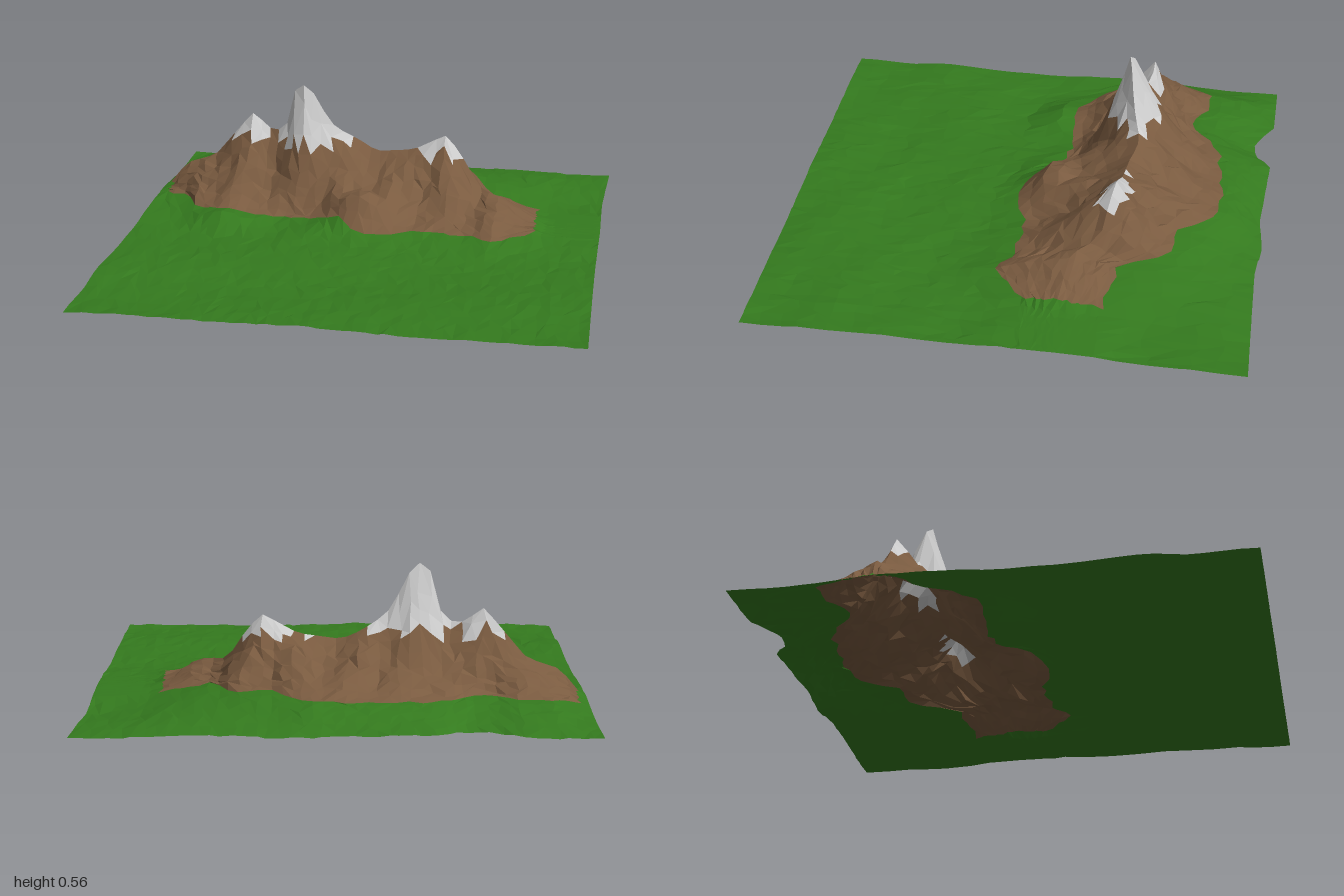
import * as THREE from 'three';

// Piecewise-linear curve through [x, value] pairs
const curve = (pts) => (x) => {
  if (x <= pts[0][0]) return pts[0][1];
  for (let i = 1; i < pts.length; i++) {
    const [x0, a] = pts[i - 1], [x1, b] = pts[i];
    if (x <= x1) return a + (b - a) * (x - x0) / (x1 - x0);
  }
  return pts[pts.length - 1][1];
};

// Height and depth of the mountain crest along x
const crestY = curve([[-1, 0.05], [-0.95, 0.08], [-0.9, 0.165], [-0.76, 0.21], [-0.7, 0.28], [-0.65, 0.34],
  [-0.585, 0.415], [-0.48, 0.34], [-0.42, 0.38], [-0.375, 0.55], [-0.333, 0.58], [-0.29, 0.54], [-0.25, 0.46],
  [-0.2, 0.38], [-0.1, 0.32], [-0.02, 0.28], [0.15, 0.3], [0.29, 0.375], [0.35, 0.32], [0.44, 0.18],
  [0.55, 0.155], [0.7, 0.08], [0.76, 0.05], [1, 0.04]]);
const crestZ = curve([[-1, -0.45], [-0.7, -0.46], [-0.55, -0.46], [-0.333, -0.375], [-0.25, -0.4], [-0.1, -0.45],
  [0, -0.42], [0.29, -0.4], [0.42, -0.36], [0.52, -0.25], [0.75, -0.22], [1, -0.25]]);

// Front and back foot of the rock
const footFront = curve([[-1, -0.36], [-0.95, -0.36], [-0.85, -0.3], [-0.78, -0.17], [-0.65, -0.11], [-0.4, -0.13],
  [-0.2, -0.08], [-0.03, 0.04], [0.1, 0.03], [0.2, -0.02], [0.45, 0], [0.54, 0.07], [0.7, -0.08], [1, -0.1]]);
const footBack = curve([[-1, -0.56], [-0.94, -0.58], [-0.85, -0.7], [-0.7, -0.69], [-0.6, -0.62], [-0.5, -0.68],
  [-0.4, -0.77], [0.1, -0.82], [0.25, -0.66], [0.4, -0.62], [0.5, -0.44], [0.7, -0.4], [1, -0.4]]);
const footBackY = curve([[-1, 0.04], [-0.85, 0.1], [0.3, 0.125], [0.5, 0.1], [0.75, 0.045], [1, 0.035]]);

// Ragged outer border of the land
const borderBack = curve([[-1, -1], [-0.7, -1], [-0.6, -0.94], [-0.53, -0.92], [-0.46, -0.94], [-0.38, -1],
  [0, -0.98], [0.2, -1], [0.35, -0.98], [0.6, -0.985], [1, -0.995]]);
const borderRight = curve([[-1, 0.99], [-0.6, 0.975], [-0.2, 0.985], [0.2, 0.985], [0.5, 0.99], [1, 1]]);

const bell = (x, z, cx, cz, rx, rz) => Math.exp(-(((x - cx) / rx) ** 2) - (((z - cz) / rz) ** 2));

// Repeatable value in -1..1 for a grid corner
const hash = (i, j, k = 0) => {
  const s = Math.sin(i * 127.1 + j * 311.7 + k * 74.7) * 43758.5453;
  return 2 * (s - Math.floor(s)) - 1;
};

// Gently rolling meadow
const meadow = (x, z) => 0.036
  + 0.005 * Math.sin(x * 3.1 + z * 9) + 0.003 * Math.sin(x * 8 - z * 17)
  - 0.028 * bell(x, z, 0.93, -0.65, 0.2, 0.3)
  - 0.012 * bell(x, z, -0.95, -0.85, 0.2, 0.2)
  + 0.045 * bell(x, z, -0.62, -0.04, 0.13, 0.09)
  + 0.03 * bell(x, z, -0.2, 0, 0.12, 0.1);

const COLS = 48;
const ROWS = [15, 9, 9, 6];                       // meadow, front face, back face, rear slope
const FOOT = ROWS[0], CREST = FOOT + ROWS[1], REAR = CREST + ROWS[2], END = REAR + ROWS[3];

// Position of one grid corner; rows follow the foot and crest lines
function corner(i, j) {
  const edgeX = i === 0 || i === COLS, edgeZ = j === 0 || j === END;
  const onLine = j === FOOT || j === CREST || j === REAR;
  let x = -1 + 2 * i / COLS;
  const zf = footFront(x), zr = crestZ(x), zb = footBack(x), top = crestY(x);
  const stops = [0.99, zf, zr, zb, borderBack(x)];
  let band = 0, start = 0;
  while (band < 3 && j > start + ROWS[band]) start += ROWS[band++];
  const step = (stops[band + 1] - stops[band]) / ROWS[band];
  let z = stops[band] + step * (j - start);
  if (!edgeZ && j !== CREST) z += hash(i, j) * (onLine ? 0.014 : 0.32 * Math.abs(step));
  if (!edgeX && j !== CREST) x += hash(i, j, 1) * 0.012;

  const frontY = Math.min(top, meadow(x, zf) + 0.025);
  const backY = Math.min(top, footBackY(x));
  const power = 1 + Math.max(0, top - 0.2) * 2.5;
  let y;
  if (band === 0) {
    y = meadow(x, z) + (frontY - meadow(x, zf)) * Math.exp(-(((z - zf) / 0.09) ** 2));
  } else if (band === 3) {
    const t = Math.min(1, Math.max(0, (zb - z) / (zb - stops[4])));
    y = meadow(x, z) + (backY - meadow(x, zb)) * (1 - t ** 1.4);
  } else {
    const front = band === 1;
    const t = Math.min(1, Math.max(0, front ? (zf - z) / (zf - zr) : (z - zb) / (zr - zb)));
    const base = front ? frontY : backY;
    y = base + (top - base) * t ** power;
    // Gullies and crags, fading out at the foot and crest
    const rough = Math.min(1, (top - 0.04) * 5) * Math.sin(Math.PI * t);
    y += rough * (0.016 * Math.sin(x * 27 + z * 5) + 0.012 * hash(i, j, 2));
  }
  // Spur in front of the main face
  if (band < 2) y += 0.1 * bell(x, z, -0.04, -0.09, 0.1, 0.085);
  if (band === 0 || band === 3) y += 0.003 * hash(i, j, 3);
  if (i === COLS) x = borderRight(z);
  return new THREE.Vector3(x, Math.max(0, y), z);
}

export function createModel() {
  const grid = [];
  for (let j = 0; j <= END; j++) {
    grid.push([]);
    for (let i = 0; i <= COLS; i++) grid[j].push(corner(i, j));
  }

  // Sort every triangle into meadow, rock or snow
  const parts = {
    meadow: { color: 0x347a1e, points: [] },
    mountainRock: { color: 0x7a5b40, points: [] },
    snowCaps: { color: 0xcccccc, points: [] },
  };
  const addTriangle = (j, a, b, c) => {
    const x = (a.x + b.x + c.x) / 3, y = (a.y + b.y + c.y) / 3;
    const isRock = j >= FOOT && j < REAR && x > -0.955 && x < 0.71;
    const snowLine = (x > 0.02 ? 0.3 : 0.325) + 0.018 * Math.sin(x * 50);
    const name = !isRock ? 'meadow' : y > snowLine ? 'snowCaps' : 'mountainRock';
    parts[name].points.push(a, b, c);
  };
  for (let j = 0; j < END; j++) {
    for (let i = 0; i < COLS; i++) {
      const a = grid[j][i], b = grid[j][i + 1], c = grid[j + 1][i + 1], d = grid[j + 1][i];
      if (hash(i, j, 4) > 0) {
        addTriangle(j, a, b, c);
        addTriangle(j, a, c, d);
      } else {
        addTriangle(j, a, b, d);
        addTriangle(j, b, c, d);
      }
    }
  }

  const model = new THREE.Group();
  model.name = 'mountainLandscape';
  for (const [name, { color, points }] of Object.entries(parts)) {
    const geometry = new THREE.BufferGeometry().setFromPoints(points);
    geometry.computeVertexNormals();
    const material = new THREE.MeshStandardMaterial({ color, flatShading: true, side: THREE.DoubleSide });
    const mesh = new THREE.Mesh(geometry, material);
    mesh.name = name;
    model.add(mesh);
  }
  return model;
}
